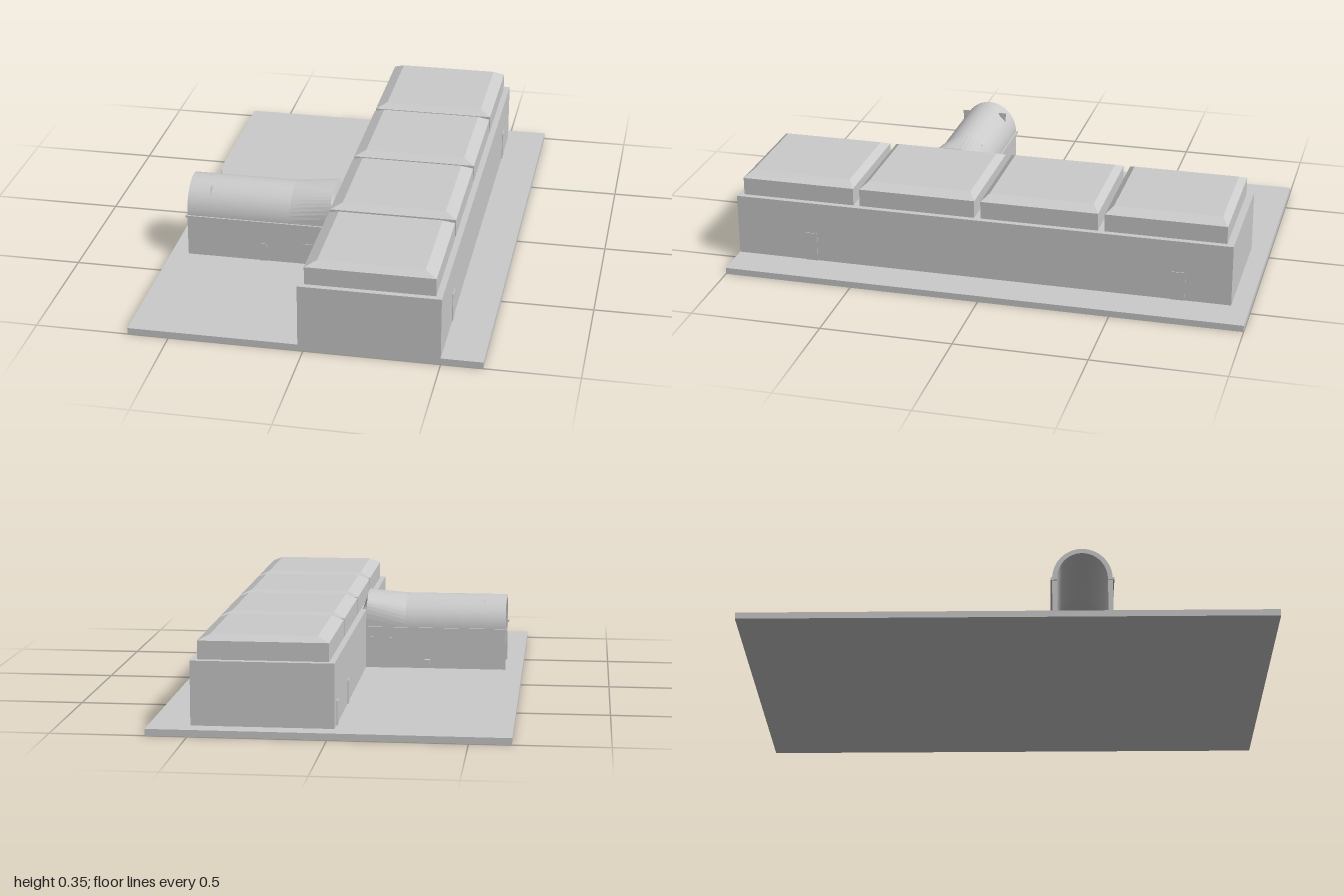
import * as THREE from 'three';

const material = new THREE.MeshStandardMaterial({ color: 0xcccccc, flatShading: true, side: THREE.DoubleSide });
const smooth = new THREE.MeshStandardMaterial({ color: 0xcccccc, side: THREE.DoubleSide });

// Box given by its limits on each axis
function box(name, [x0, x1], [y0, y1], [z0, z1]) {
  const geometry = new THREE.BoxGeometry(x1 - x0, y1 - y0, z1 - z0);
  geometry.translate((x0 + x1) / 2, (y0 + y1) / 2, (z0 + z1) / 2);
  const mesh = new THREE.Mesh(geometry, material);
  mesh.name = name;
  return mesh;
}

// Box whose top face is drawn in to make bevelled edges
function bevelCap(name, xs, ys, zs, insetX, insetZ) {
  const mesh = box(name, xs, ys, zs);
  const p = mesh.geometry.attributes.position;
  const cx = (xs[0] + xs[1]) / 2, cz = (zs[0] + zs[1]) / 2;
  const middle = (ys[0] + ys[1]) / 2;
  for (let i = 0; i < p.count; i++) {
    if (p.getY(i) < middle) continue;
    p.setX(i, p.getX(i) - Math.sign(p.getX(i) - cx) * insetX);
    p.setZ(i, p.getZ(i) - Math.sign(p.getZ(i) - cz) * insetZ);
  }
  mesh.geometry.computeVertexNormals();
  return mesh;
}

// Skin through cross-sections with equal point counts
function loft(name, sections) {
  const n = sections[0].length, index = [];
  for (let s = 0; s < sections.length - 1; s++) {
    for (let i = 0; i < n - 1; i++) {
      const a = s * n + i, b = a + n;
      index.push(a, a + 1, b, b, a + 1, b + 1);
    }
  }
  const geometry = new THREE.BufferGeometry().setFromPoints(sections.flat());
  geometry.setIndex(index);
  geometry.computeVertexNormals();
  const mesh = new THREE.Mesh(geometry, material);
  mesh.name = name;
  return mesh;
}

const GROUND = 0.025, EAVE = 0.19, MID = 0.278, HALF = 0.113;

function createHall() {
  const hall = new THREE.Group();
  hall.name = 'hall';
  hall.add(box('hallWalls', [-0.02, 0.5], [GROUND, 0.262], [-0.93, 1]));
  // Four raised roof blocks
  for (const z of [[-0.903, -0.443], [-0.418, 0.034], [0.058, 0.511], [0.536, 0.978]]) {
    hall.add(box('roofBlock', [0.002, 0.477], [0.262, 0.33], z));
    hall.add(bevelCap('roofCap', [0.002, 0.477], [0.33, 0.35], z, 0.043, 0.026));
  }
  // Doors along both long sides
  for (const z of [0.705, -0.73]) {
    hall.add(box('sideDoor', [0.499, 0.503], [GROUND, 0.138], [z - 0.026, z + 0.026]));
  }
  for (const z of [-0.85, -0.5, 0.69]) {
    hall.add(box('yardDoor', [-0.024, -0.019], [GROUND, 0.115], [z - 0.023, z + 0.023]));
  }
  return hall;
}

function createPassage() {
  const passage = new THREE.Group();
  passage.name = 'entrancePassage';

  // Hollow barrel vault
  const arch = new THREE.Shape();
  arch.absellipse(0, 0, HALF, 0.125, 0, Math.PI, false);
  arch.absellipse(0, 0, HALF - 0.018, 0.107, Math.PI, 0, true);
  const vaultGeometry = new THREE.ExtrudeGeometry(arch, { depth: 0.405, bevelEnabled: false, curveSegments: 24 });
  vaultGeometry.rotateY(-Math.PI / 2).translate(-0.18, EAVE, MID);
  const vault = new THREE.Mesh(vaultGeometry, smooth);
  vault.name = 'vault';
  passage.add(vault);

  // Vault squares off as it meets the hall, then folds down to the hall top
  const section = (x, height, power, top) => Array.from({ length: 25 }, (_, i) => {
    const a = Math.PI * i / 24, c = Math.cos(a);
    const y = EAVE + height * Math.pow(Math.abs(Math.sin(a)), power);
    return new THREE.Vector3(x, Math.min(y, top), MID + HALF * Math.sign(c) * Math.pow(Math.abs(c), power));
  });
  passage.add(loft('vaultJunction', [
    section(-0.18, 0.125, 1, 1), section(-0.022, 0.134, 0.65, 1), section(-0.004, 0.134, 0.65, 0.26),
  ]));

  for (const side of [-1, 1]) {
    const across = (a, b) => [a, b].map((d) => MID + side * d).sort((p, q) => p - q);
    passage.add(box('passageWall', [-0.585, -0.02], [GROUND, EAVE], across(HALF - 0.018, HALF)));
    passage.add(box('eaveStrip', [-0.591, -0.02], [0.183, 0.192], across(HALF - 0.018, HALF + 0.006)));
    // Small triangular fins on the vault
    const fin = loft('vaultFin', [
      [new THREE.Vector3(-0.495, 0.26, MID + side * 0.09), new THREE.Vector3(-0.495, 0.305, MID + side * 0.092)],
      [new THREE.Vector3(-0.495, 0.29, MID + side * 0.066), new THREE.Vector3(-0.495, 0.305, MID + side * 0.06)],
    ]);
    passage.add(fin);
  }

  // Doors, framed panel and wall box
  const front = MID + HALF, back = MID - HALF;
  passage.add(box('smallDoor', [-0.3, -0.272], [GROUND, 0.097], [front - 0.001, front + 0.003]));
  passage.add(box('largeDoor', [-0.128, -0.092], [GROUND, 0.112], [front - 0.001, front + 0.003]));
  passage.add(box('backPanel', [-0.125, -0.035], [GROUND, 0.15], [back - 0.004, back + 0.001]));
  passage.add(box('wallBox', [-0.28, -0.258], [0.04, 0.062], [back - 0.015, back + 0.001]));
  return passage;
}

export function createModel() {
  const model = new THREE.Group();
  model.name = 'building';
  model.add(box('groundSlab', [-0.653, 0.653], [0, GROUND], [-1, 1]));
  model.add(createHall(), createPassage());
  return model;
}
